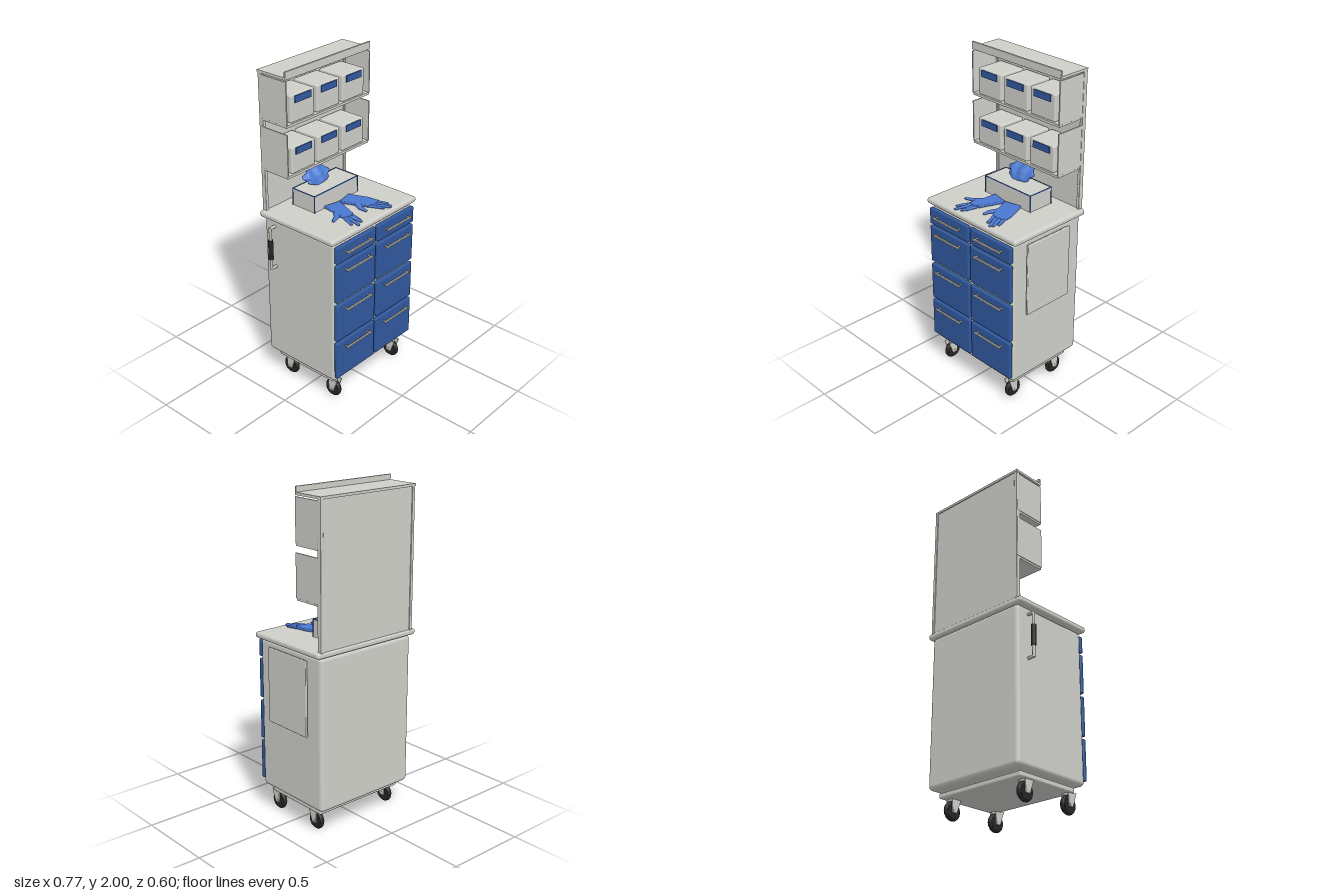
import * as THREE from 'three';
import { RoundedBoxGeometry } from 'three/addons/geometries/RoundedBoxGeometry.js';

const material = (name, color) => {
  const m = new THREE.MeshStandardMaterial({ color });
  m.name = name;
  return m;
};

export function createModel() {
  const root = new THREE.Group();
  root.name = 'medicalCart';
  const grey = material('light grey', 0xcfcfca);
  const metal = material('handle metal', 0xc8c5ba);
  const blue = material('drawer blue', 0x30599f);
  const gloveBlue = material('glove blue', 0x4a78d0);
  const black = material('rubber black', 0x262626);

  const add = (name, geometry, mat, parent = root) => {
    const mesh = new THREE.Mesh(geometry, mat);
    mesh.name = name;
    parent.add(mesh);
    return mesh;
  };
  const group = (name) => {
    const g = new THREE.Group();
    g.name = name;
    root.add(g);
    return g;
  };
  // Box given by its limits; r > 0 rounds the edges
  const box = (name, [x0, x1], [y0, y1], [z0, z1], mat, r = 0, parent = root) => {
    const w = x1 - x0, h = y1 - y0, d = z1 - z0;
    const g = r ? new RoundedBoxGeometry(w, h, d, 3, r) : new THREE.BoxGeometry(w, h, d);
    g.translate((x0 + x1) / 2, (y0 + y1) / 2, (z0 + z1) / 2);
    return add(name, g, mat, parent);
  };
  // Round bar between two points
  const bar = (name, a, b, r, mat, parent = root) => {
    const p = new THREE.Vector3(...a), q = new THREE.Vector3(...b);
    const mesh = add(name, new THREE.CylinderGeometry(r, r, p.distanceTo(q), 14), mat, parent);
    mesh.position.copy(p).lerp(q, 0.5);
    mesh.quaternion.setFromUnitVectors(new THREE.Vector3(0, 1, 0), q.sub(p).normalize());
    return mesh;
  };

  // Cabinet
  box('cabinetBody', [-0.33, 0.355], [0.16, 1.09], [-0.29, 0.25], grey, 0.025);
  box('countertop', [-0.36, 0.383], [1.088, 1.125], [-0.3, 0.263], grey, 0.015);
  box('basePlate', [-0.295, 0.32], [0.12, 0.15], [-0.235, 0.2], grey, 0.008);
  box('baseSpacer', [-0.25, 0.275], [0.145, 0.165], [-0.2, 0.17], grey);

  // Drawers in two columns, each with a bar handle
  const rows = [[0.195, 0.44, 0.4], [0.455, 0.695, 0.66], [0.715, 0.955, 0.918], [0.97, 1.073, 1.032]];
  for (const [x0, x1, h0, h1] of [[-0.328, 0.005, -0.272, -0.05], [0.021, 0.352, 0.075, 0.298]]) {
    for (const [y0, y1, hy] of rows) {
      const drawer = group('drawer');
      box('drawerFront', [x0, x1], [y0, y1], [0.245, 0.27], blue, 0.007, drawer);
      box('drawerHandle', [h0, h1], [hy - 0.006, hy + 0.006], [0.287, 0.3], metal, 0.004, drawer);
      for (const px of [h0 + 0.013, h1 - 0.013]) {
        bar('handlePost', [px, hy, 0.265], [px, hy, 0.292], 0.005, metal, drawer);
      }
    }
  }

  // Casters
  for (const x of [-0.26, 0.285]) for (const z of [0.18, -0.165]) {
    const caster = group('caster');
    bar('wheel', [x - 0.016, 0.056, z], [x + 0.016, 0.056, z], 0.047, black, caster);
    const tyre = add('tyre', new THREE.TorusGeometry(0.04, 0.016, 12, 28), black, caster);
    tyre.rotation.y = Math.PI / 2;
    tyre.position.set(x, 0.056, z);
    bar('axle', [x - 0.026, 0.056, z], [x + 0.026, 0.056, z], 0.011, metal, caster);
    for (const s of [-1, 1]) {
      const fork = new THREE.Shape();
      fork.moveTo(-0.016, 0.045);
      fork.lineTo(0.016, 0.045);
      fork.lineTo(0.022, 0.125);
      fork.lineTo(-0.045, 0.125);
      const plate = add('fork', new THREE.ExtrudeGeometry(fork, { depth: 0.006, bevelEnabled: false }), grey, caster);
      plate.rotation.y = Math.PI / 2;
      plate.position.set(x + s * 0.022 - 0.003, 0, z);
    }
    bar('swivel', [x, 0.108, z], [x, 0.135, z], 0.024, grey, caster);
  }

  // Side push handle with dark grip
  const push = group('pushHandle');
  bar('pushBar', [-0.37, 0.775, -0.205], [-0.37, 1.05, -0.205], 0.009, metal, push);
  bar('pushGrip', [-0.37, 0.845, -0.205], [-0.37, 0.97, -0.205], 0.015, black, push);
  for (const y of [0.78, 1.045]) {
    bar('pushPost', [-0.372, y, -0.205], [-0.325, y, -0.205], 0.009, metal, push);
  }

  // Folding side leaf
  box('sideLeaf', [0.363, 0.376], [0.6, 1.055], [-0.185, 0.155], grey, 0.005);
  box('leafHinge', [0.35, 0.368], [1.03, 1.05], [-0.17, 0.14], metal);

  // Rear rack
  box('rackBackPanel', [-0.315, 0.34], [1.12, 1.955], [-0.292, -0.276], grey);
  for (const x of [-0.332, 0.34]) {
    box('rackPost', [x, x + 0.02], [1.12, 1.955], [-0.297, -0.268], grey, 0.003);
  }
  box('topShelf', [-0.335, 0.36], [1.953, 1.968], [-0.298, -0.09], grey);
  box('topShelfLip', [-0.335, 0.36], [1.953, 2], [-0.1, -0.088], grey, 0.003);

  // Two shelves of labelled bins
  for (const y of [1.378, 1.68]) {
    const shelf = group('binShelf');
    box('shelfBoard', [-0.33, 0.355], [y, y + 0.015], [-0.285, -0.09], grey, 0, shelf);
    for (const x of [-0.333, 0.35]) {
      box('shelfSide', [x, x + 0.008], [y + 0.012, y + 0.265], [-0.293, -0.086], grey, 0.002, shelf);
    }
    for (const x of [-0.197, 0.012, 0.222]) {
      box('bin', [x - 0.094, x + 0.094], [y + 0.015, y + 0.175], [-0.275, -0.095], grey, 0.01, shelf);
      box('binLabel', [x - 0.063, x + 0.063], [y + 0.127, y + 0.167], [-0.097, -0.089], blue, 0, shelf);
    }
  }

  // Glove dispenser with blue edging
  const dispenser = group('gloveDispenser');
  const X = [-0.175, 0.197], Y = [1.126, 1.23], Z = [-0.207, -0.038], e = 0.0025;
  box('dispenserBox', X, Y, Z, grey, 0, dispenser);
  for (const x of X) {
    for (const z of Z) box('boxEdge', [x - e, x + e], Y, [z - e, z + e], blue, 0, dispenser);
    box('boxEdge', [x - e, x + e], [1.2275, 1.2325], Z, blue, 0, dispenser);
  }
  for (const z of Z) box('boxEdge', X, [1.2275, 1.2325], [z - e, z + e], blue, 0, dispenser);

  // Crumpled gloves: a fan-shaped lump, rippled and leaning back
  const tuft = new THREE.SphereGeometry(1, 40, 28);
  const p = tuft.attributes.position, v = new THREE.Vector3();
  for (let i = 0; i < p.count; i++) {
    v.fromBufferAttribute(p, i);
    const fold = 1 + 0.13 * Math.sin(9 * v.x + 3 * v.y) + 0.1 * Math.sin(7 * v.y - 5 * v.x);
    const x = v.x * (0.098 + 0.02 * v.y) * (1 + 0.08 * Math.sin(8 * v.y)) - 0.013;
    const y = v.y * 0.046 * (1 + 0.09 * Math.sin(11 * v.x));
    const z = v.z * 0.022 * fold + 0.012 * Math.sin(8 * v.x) * (0.4 + 0.6 * v.y) - y * 0.75;
    p.setXYZ(i, x, y + 1.266, z - 0.17);
  }
  tuft.computeVertexNormals();
  add('crumpledGloves', tuft, gloveBlue, dispenser);

  // Tapered flattened finger lying on the countertop
  const finger = ([x0, z0], [x1, z1], r0, r1, parent) => {
    const len = Math.hypot(x1 - x0, z1 - z0), pts = [];
    for (let i = 0; i <= 5; i++) {
      const a = (i / 5) * Math.PI / 2;
      pts.push(new THREE.Vector2(r0 * Math.sin(a), -r0 * Math.cos(a)));
    }
    for (let i = 0; i <= 5; i++) {
      const a = (i / 5) * Math.PI / 2;
      pts.push(new THREE.Vector2(r1 * Math.cos(a), len + r1 * Math.sin(a)));
    }
    const g = new THREE.LatheGeometry(pts, 14).rotateX(Math.PI / 2).scale(1, 0.6, 1);
    g.rotateY(Math.atan2(x1 - x0, z1 - z0)).translate(x0, 1.131, z0);
    add('finger', g, gloveBlue, parent);
  };
  const gloves = [
    {
      palm: [[-0.09, -0.036], [0.009, -0.012], [-0.047, 0.132], [-0.065, 0.147], [-0.112, 0.138], [-0.114, 0.1], [-0.096, 0.04]],
      thumb: [[-0.1, 0.068], [-0.135, 0.093], [-0.18, 0.112]],
      fingers: [[-0.106, 0.128, -0.146, 0.212], [-0.094, 0.135, -0.122, 0.246], [-0.076, 0.138, -0.083, 0.23], [-0.058, 0.125, -0.069, 0.205]],
    },
    {
      palm: [[0.018, -0.012], [0.117, -0.036], [0.161, 0.076], [0.17, 0.14], [0.12, 0.156], [0.083, 0.138], [0.057, 0.08]],
      thumb: [[0.07, 0.075], [0.04, 0.122], [0.035, 0.165]],
      fingers: [[0.09, 0.13, 0.124, 0.22], [0.112, 0.14, 0.162, 0.241], [0.14, 0.14, 0.176, 0.23], [0.158, 0.125, 0.188, 0.197]],
    },
  ];
  for (const { palm, thumb, fingers } of gloves) {
    const glove = group('glove');
    const shape = new THREE.Shape(palm.map(([x, z]) => new THREE.Vector2(x, z)));
    const g = new THREE.ExtrudeGeometry(shape, { depth: 0.006, bevelThickness: 0.005, bevelSize: 0.005, bevelSegments: 3 });
    add('palm', g.rotateX(Math.PI / 2).translate(0, 1.136, 0), gloveBlue, glove);
    finger(thumb[0], thumb[1], 0.022, 0.015, glove);
    finger(thumb[1], thumb[2], 0.015, 0.01, glove);
    for (const [x0, z0, x1, z1] of fingers) finger([x0, z0], [x1, z1], 0.014, 0.009, glove);
  }
  return root;
}
